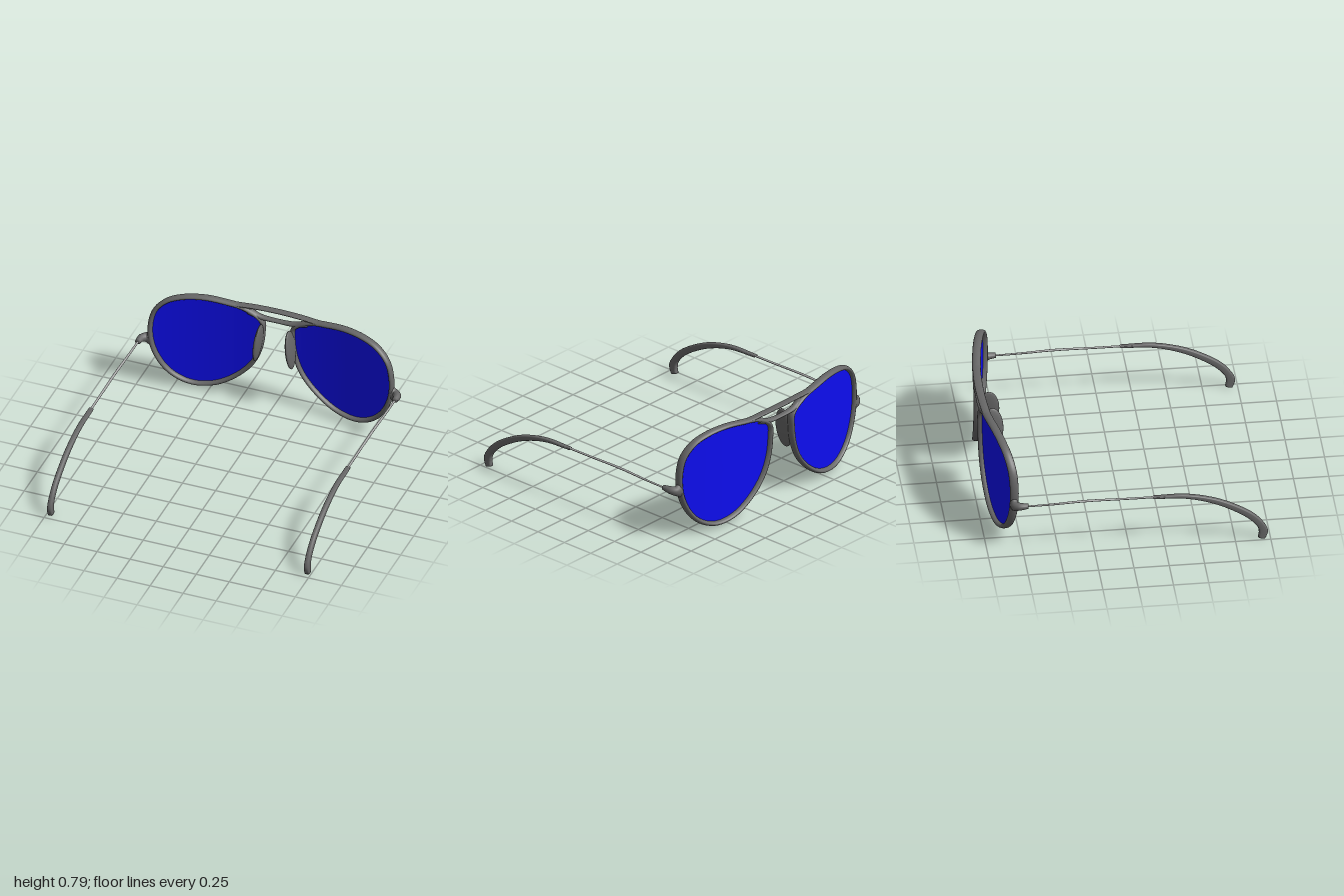
import * as THREE from 'three';

const frameMat = new THREE.MeshStandardMaterial({ color: 0x666666, side: THREE.DoubleSide });
const wireMat = new THREE.MeshStandardMaterial({ color: 0xaaaaaa, side: THREE.DoubleSide });
const lensMat = new THREE.MeshStandardMaterial({ color: 0x0d0df0, side: THREE.DoubleSide });

// The whole front wraps gently around the face
const wrap = (x) => -0.945 + 0.165 * x * x;

const X = new THREE.Vector3(1, 0, 0);
const Y = new THREE.Vector3(0, 1, 0);
const Z = new THREE.Vector3(0, 0, 1);

// Linear interpolation through a list of values, t in 0..1
function lerpList(list, t) {
  const f = t * (list.length - 1);
  const i = Math.min(Math.floor(f), list.length - 2);
  return THREE.MathUtils.lerp(list[i], list[i + 1], f - i);
}

// Sweeps an oval along a curve: a = half size along `side`, b = half size across it
function sweep(points, side, a, b, { closed = false, steps = 40, around = 14, square = 1 } = {}) {
  const curve = new THREE.CatmullRomCurve3(points, closed, 'centripetal');
  const pos = [], index = [];
  const ring = (t, k) => {
    const p = curve.getPoint(t);
    const up = curve.getTangent(t).cross(side).normalize();
    const bulge = (v) => Math.sign(v) * Math.pow(Math.abs(v), square);
    for (let j = 0; j < around; j++) {
      const ang = (j / around) * Math.PI * 2;
      const v = p.clone()
        .addScaledVector(side, bulge(Math.cos(ang)) * lerpList(a, t) * k)
        .addScaledVector(up, bulge(Math.sin(ang)) * lerpList(b, t) * k);
      pos.push(v.x, v.y, v.z);
    }
  };
  if (!closed) ring(0, 0);
  for (let i = 0; i < (closed ? steps : steps + 1); i++) ring(i / steps, 1);
  if (!closed) ring(1, 0);
  const rings = pos.length / 3 / around;
  for (let i = 0; i < (closed ? rings : rings - 1); i++) {
    for (let j = 0; j < around; j++) {
      const k = (j + 1) % around, n = (i + 1) % rings;
      const A = i * around + j, B = i * around + k, C = n * around + j, D = n * around + k;
      index.push(A, B, C, B, D, C);
    }
  }
  return toGeometry(pos, index);
}

function toGeometry(pos, index) {
  const g = new THREE.BufferGeometry();
  g.setAttribute('position', new THREE.Float32BufferAttribute(pos, 3));
  g.setIndex(index);
  g.computeVertexNormals();
  return g;
}

// Teardrop centreline of one rim
const RIM = [
  [0.12, 0.66], [0.24, 0.74], [0.39, 0.768], [0.54, 0.782], [0.69, 0.767], [0.8, 0.725],
  [0.88, 0.64], [0.913, 0.5], [0.895, 0.33], [0.82, 0.175], [0.72, 0.085], [0.6, 0.046],
  [0.45, 0.07], [0.3, 0.165], [0.19, 0.29], [0.135, 0.42], [0.115, 0.55],
];

// Curved sheet of concentric rings filling the rim
function lensGeometry(points, s) {
  const N = 96, R = 10, cx = 0.53 * s, cy = 0.43;
  const edge = new THREE.CatmullRomCurve3(points, true, 'centripetal');
  const pos = [], index = [];
  for (let r = 0; r <= R; r++) {
    for (let j = 0; j < N; j++) {
      const p = edge.getPoint(j / N);
      const x = cx + (p.x - cx) * 0.975 * r / R;
      pos.push(x, cy + (p.y - cy) * 0.975 * r / R, wrap(x));
    }
  }
  for (let r = 0; r < R; r++) {
    for (let j = 0; j < N; j++) {
      const k = (j + 1) % N, A = r * N + j, B = r * N + k, C = A + N, D = B + N;
      if (s > 0) index.push(A, D, C, A, B, D);
      else index.push(A, C, D, A, D, B);
    }
  }
  return toGeometry(pos, index);
}

export function createModel() {
  const group = new THREE.Group();
  const add = (name, geometry, material) => {
    const mesh = new THREE.Mesh(geometry, material);
    mesh.name = name;
    group.add(mesh);
    return mesh;
  };

  for (const s of [1, -1]) {
    const tag = s > 0 ? 'left' : 'right';
    const at = (x, y, z) => new THREE.Vector3(x * s, y, z);

    // Rim and lens
    const rim = RIM.map(([x, y]) => at(x, y, wrap(x)));
    add(tag + 'Rim', sweep(rim, Z, [0.031, 0.031], [0.017, 0.017], { closed: true, steps: 110 }), frameMat);
    add(tag + 'Lens', lensGeometry(rim, s), lensMat);

    // Nose pad: thin upright oval leaning outward at the bottom
    const pad = add(tag + 'NosePad', new THREE.SphereGeometry(1, 24, 18), frameMat);
    pad.scale.set(0.023, 0.155, 0.078);
    pad.position.set(0.122 * s, 0.52, -0.868);
    pad.rotation.z = 0.11 * s;

    // Hinge: flares off the rim, then turns back and tapers to the temple
    add(tag + 'Hinge', sweep(
      [at(0.905, 0.395, -0.81), at(0.945, 0.395, -0.805), at(0.968, 0.402, -0.775), at(0.972, 0.405, -0.715)],
      Y, [0.062, 0.036, 0.028, 0.018], [0.03, 0.03, 0.028, 0.02], { steps: 20 }), frameMat);

    // Temple wire
    add(tag + 'TempleWire', sweep(
      [at(0.972, 0.403, -0.74), at(0.972, 0.406, -0.55), at(0.972, 0.416, -0.3), at(0.972, 0.412, 0), at(0.972, 0.411, 0.2)],
      X, [0.009, 0.009], [0.004, 0.006, 0.009, 0.007, 0.007], { steps: 24, around: 10 }), wireMat);

    // Ear tip: flattened sleeve hooking down to a rounded end
    add(tag + 'EarTip', sweep(
      [at(0.972, 0.411, 0.17), at(0.972, 0.402, 0.4), at(0.972, 0.35, 0.6), at(0.972, 0.278, 0.75),
        at(0.972, 0.2, 0.865), at(0.972, 0.125, 0.93), at(0.972, 0.07, 0.95), at(0.972, 0.016, 0.938)],
      X, [0.018, 0.02], [0.008, 0.015, 0.021, 0.024, 0.026, 0.026, 0.033, 0.026],
      { steps: 48, around: 16, square: 0.6 }), frameMat);
  }

  // Double bridge following the wrap of the front
  const across = (pts) => pts.map(([x, y]) => new THREE.Vector3(x, y, wrap(x)));
  add('topBar', sweep(
    across([[-0.42, 0.77], [-0.3, 0.763], [-0.18, 0.767], [0, 0.769], [0.18, 0.767], [0.3, 0.763], [0.42, 0.77]]),
    Z, [0.028, 0.03, 0.028], [0.012, 0.008, 0.012], { steps: 32 }), frameMat);
  add('lowerBridge', sweep(
    across([[-0.22, 0.725], [-0.14, 0.695], [-0.07, 0.687], [0, 0.686], [0.07, 0.687], [0.14, 0.695], [0.22, 0.725]]),
    Z, [0.026, 0.024, 0.026], [0.024, 0.016, 0.012, 0.016, 0.024], { steps: 32 }), frameMat);

  return group;
}
